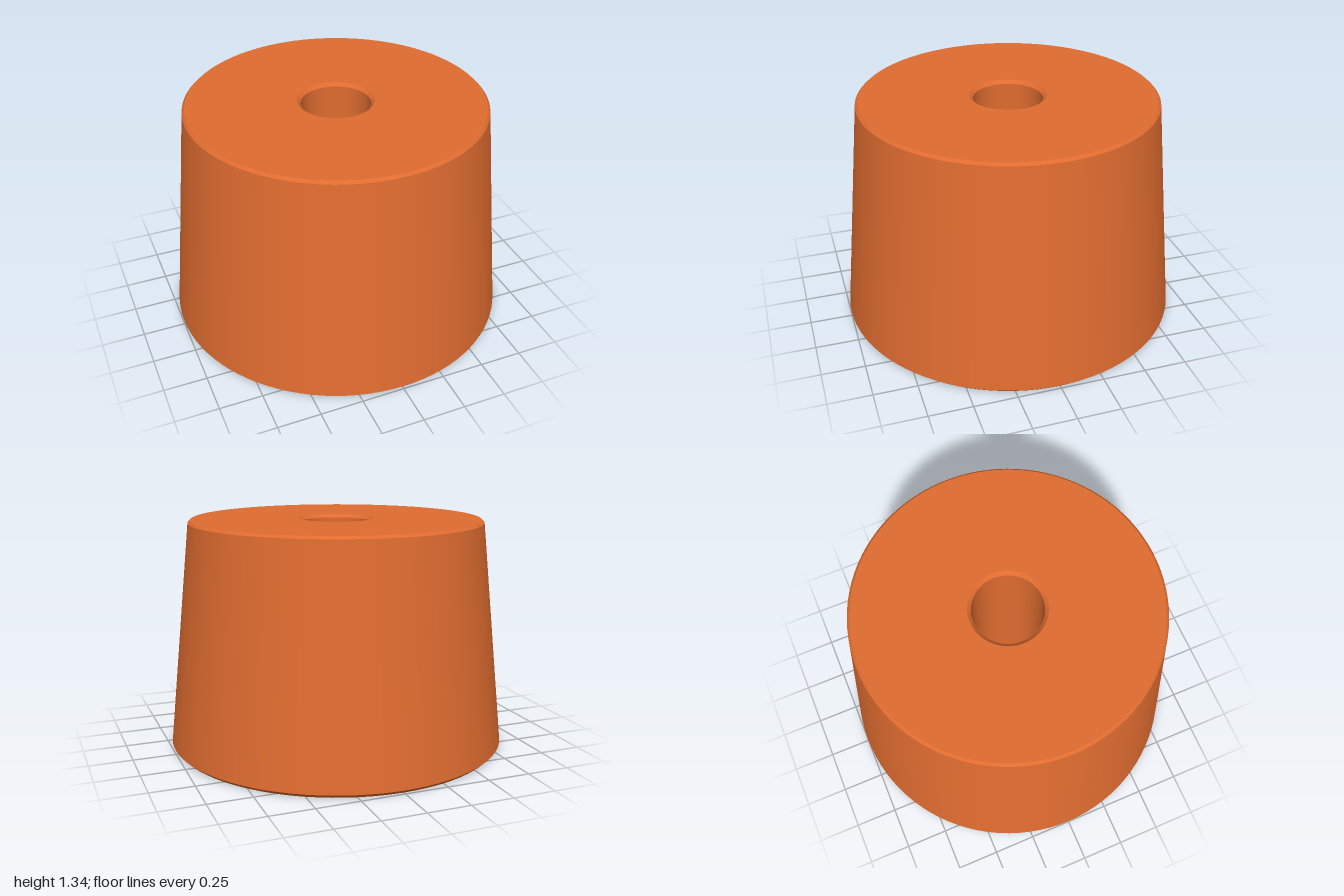
import * as THREE from 'three';

export function createModel() {
  const group = new THREE.Group();
  group.name = 'taperedFoot';

  const orange = new THREE.MeshStandardMaterial({ color: 0xe06c30 });
  orange.name = 'orange';

  // Closed profile [radius, height]: up the outside, down the bore
  const profile = [
    [0.98, 0], [1, 0.02], [0.865, 1.325], [0.85, 1.34],
    [0.22, 1.34], [0.2, 1.32], [0.2, 0.02], [0.22, 0],
  ].map(([r, y]) => new THREE.Vector2(r, y));

  const names = [
    'bottomOuterChamfer', 'taperedWall', 'topOuterChamfer', 'topFace',
    'topBoreChamfer', 'bore', 'bottomBoreChamfer', 'bottomFace',
  ];

  // One lathe per band keeps the edges crisp and the curves smooth
  names.forEach((name, i) => {
    const band = [profile[i], profile[(i + 1) % profile.length]];
    const mesh = new THREE.Mesh(new THREE.LatheGeometry(band, 96), orange);
    mesh.name = name;
    group.add(mesh);
  });

  return group;
}
